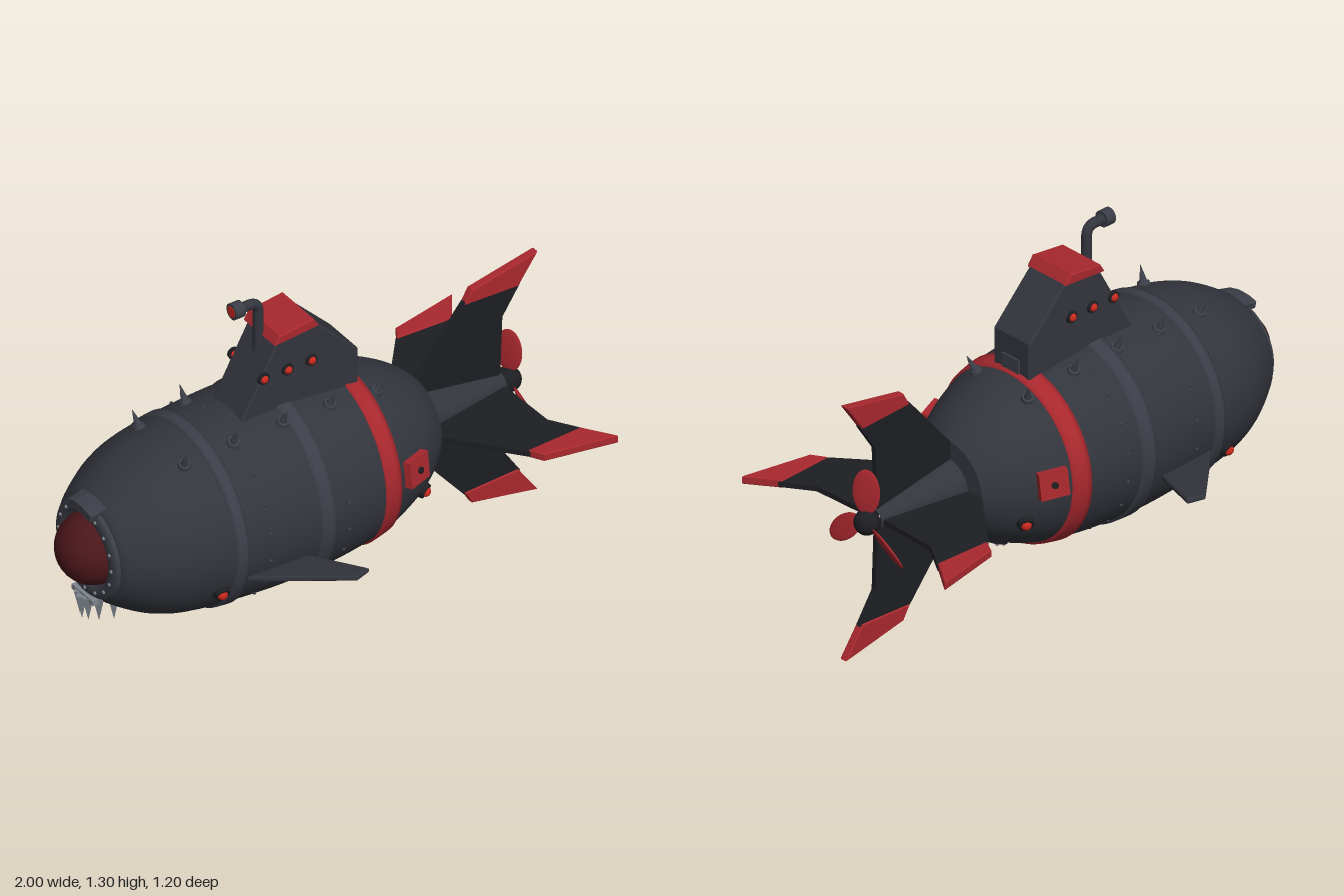
import * as THREE from 'three';

const mat = (color, side = THREE.FrontSide) => new THREE.MeshStandardMaterial({ color, side, roughness: 0.7 });
const HULL = mat(0x33353d), BAND = mat(0x3b3e47), DARK = mat(0x1d1e22), RED = mat(0xa8282e);
const GLASS = mat(0x4a161b), LAMP = mat(0xc8281e), STEEL = mat(0x7c838a);
const AXIS = 0.512;

// hull outline: x along the axis, y = radius
const outline = new THREE.SplineCurve([
  [-0.88, 0.185], [-0.85, 0.22], [-0.72, 0.298], [-0.56, 0.34], [-0.265, 0.364], [-0.05, 0.36],
  [0.135, 0.34], [0.24, 0.315], [0.35, 0.27], [0.43, 0.222], [0.49, 0.167],
].map(p => new THREE.Vector2(...p))).getPoints(60);

function hullRadius(x) {
  let i = 1;
  while (i < outline.length - 1 && outline[i].x < x) i++;
  const a = outline[i - 1], b = outline[i];
  return a.y + (b.y - a.y) * (x - a.x) / (b.x - a.x);
}

export function createModel() {
  const model = new THREE.Group();
  const body = new THREE.Group();
  body.name = 'submarine';
  body.position.y = AXIS;
  model.add(body);

  const add = (name, geo, material, x = 0, y = 0, z = 0, parent = body) => {
    const m = new THREE.Mesh(geo, material);
    m.name = name;
    m.position.set(x, y, z);
    parent.add(m);
    return m;
  };
  // surface of revolution about the x axis, points are [x, radius]
  const revolve = (pts, seg = 64) =>
    new THREE.LatheGeometry(pts.map(p => new THREE.Vector2(p[1], p[0])), seg).rotateZ(-Math.PI / 2);
  // slab cut from an outline in x and y, centred on z
  const slab = (pts, depth, bevel = 0) => new THREE.ExtrudeGeometry(
    new THREE.Shape(pts.map(p => new THREE.Vector2(...p))),
    { depth: depth - 2 * bevel, bevelEnabled: bevel > 0, bevelSize: bevel, bevelThickness: bevel, bevelOffset: -bevel, bevelSegments: 1 },
  ).translate(0, 0, -depth / 2 + bevel);
  // stands a part on the hull at x, angle from the top; its y axis points outwards
  const onHull = (mesh, x, angle, lift = 0) => {
    const r = hullRadius(x), slope = (hullRadius(x + 0.02) - hullRadius(x - 0.02)) / 0.04;
    const c = Math.cos(angle), s = Math.sin(angle);
    const n = new THREE.Vector3(-slope, c, s).normalize();
    const t = new THREE.Vector3(1, slope * c, slope * s).normalize();
    mesh.quaternion.setFromRotationMatrix(new THREE.Matrix4().makeBasis(t, n, t.clone().cross(n)));
    mesh.position.set(x, r * c, r * s).addScaledVector(n, lift);
    return mesh;
  };

  // hull, tail cone and raised bands
  add('hull', revolve(outline.map(p => [p.x, p.y])), HULL);
  add('hullEnd', revolve([[0.49, 0.167], [0.495, 0.09]]), HULL);
  add('tailCone', revolve([[0.485, 0.103], [0.85, 0.04]], 32), HULL);
  for (const [a, b, m] of [[-0.5, -0.45, BAND], [-0.155, -0.09, BAND], [0.135, 0.208, RED]]) {
    const pts = [[a, hullRadius(a) - 0.01]];
    for (let i = 0; i <= 4; i++) {
      const x = a + (b - a) * i / 4;
      pts.push([x, hullRadius(x) + 0.008]);
    }
    pts.push([b, hullRadius(b) - 0.01]);
    add(m === RED ? 'redBand' : 'hullBand', revolve(pts), m);
  }

  // rows of small rivets round the hull
  const rivet = new THREE.SphereGeometry(0.007, 8, 6);
  for (const x of [-0.36, -0.03])
    for (let i = 0; i < 20; i++) onHull(add('hullRivet', rivet, BAND), x, (i + 0.5) / 20 * Math.PI * 2);

  // nose: window, ring, ring rivets
  add('noseDome', new THREE.SphereGeometry(0.135, 40, 24), GLASS, -0.865);
  add('noseRing', revolve([[-0.85, 0.19], [-0.885, 0.19], [-0.897, 0.178], [-0.897, 0.142], [-0.87, 0.13]].reverse()),
    mat(0x3b3e47, THREE.DoubleSide));
  for (let i = 0; i < 16; i++) {
    const a = i / 16 * Math.PI * 2;
    add('ringRivet', rivet, STEEL, -0.897, Math.cos(a) * 0.162, Math.sin(a) * 0.162);
  }

  // hooded brow over the window
  for (const k of [-1, 0, 1]) {
    const g = new THREE.Group();
    g.name = 'brow';
    g.rotation.x = k * 0.23;
    body.add(g);
    add('browPlate', slab([[-0.92, 0.168], [-0.82, 0.18], [-0.8, 0.225], [-0.83, 0.22], [-0.92, 0.198]], 0.05, 0.004), BAND, 0, 0, 0, g);
  }

  // curved row of teeth under the nose
  for (let i = -3; i <= 3; i++) {
    const tooth = new THREE.ConeGeometry(0.025, 0.1, 4).rotateX(Math.PI);
    const m = add('tooth', tooth, STEEL, -0.91 + 0.009 * i * i, -0.238 + 0.003 * Math.abs(i), i * 0.026);
    m.material = mat(0x7c838a);
    m.material.flatShading = true;
  }
  add('jawPlate', new THREE.BoxGeometry(0.11, 0.02, 0.13), STEEL, -0.855, -0.19, 0);

  // tower with sloping cap and portholes
  const tower = new THREE.Group();
  tower.name = 'tower';
  tower.position.y = -AXIS;
  body.add(tower);
  add('towerBody', slab([[-0.33, 0.81], [0.19, 0.81], [0.19, 0.98], [0.01, 1.165], [-0.145, 1.15]], 0.18, 0.006), HULL, 0, 0, 0, tower);
  add('towerCap', slab([[-0.165, 1.138], [0.022, 1.152], [-0.003, 1.19], [-0.145, 1.172]], 0.196, 0.004), RED, 0, 0, 0, tower);
  add('towerStep', new THREE.BoxGeometry(0.06, 0.08, 0.085), BAND, 0.168, 0.86, 0, tower);
  for (const side of [-1, 1])
    for (const x of [-0.21, -0.11, -0.01]) {
      add('portholeRim', new THREE.CylinderGeometry(0.022, 0.024, 0.012, 20).rotateX(side * Math.PI / 2), DARK, x, 1.015, side * 0.093, tower);
      add('porthole', new THREE.SphereGeometry(0.016, 16, 10), LAMP, x, 1.015, side * 0.095, tower);
    }

  // periscope
  const bend = new THREE.CurvePath();
  const V = (x, y) => new THREE.Vector3(x, y, 0);
  bend.add(new THREE.LineCurve3(V(-0.17, 1.05), V(-0.17, 1.235)));
  bend.add(new THREE.QuadraticBezierCurve3(V(-0.17, 1.235), V(-0.17, 1.275), V(-0.21, 1.275)));
  bend.add(new THREE.LineCurve3(V(-0.21, 1.275), V(-0.26, 1.275)));
  add('periscope', new THREE.TubeGeometry(bend, 40, 0.019, 14), HULL, 0, 0, 0, tower);
  add('periscopeEye', new THREE.CylinderGeometry(0.031, 0.031, 0.04, 20).rotateZ(Math.PI / 2), BAND, -0.262, 1.275, 0, tower);
  add('periscopeLens', new THREE.CylinderGeometry(0.022, 0.022, 0.004, 20).rotateZ(Math.PI / 2), LAMP, -0.282, 1.275, 0, tower);

  // four swept tail fins with thicker red tips
  for (let k = 0; k < 4; k++) {
    const fin = new THREE.Group();
    fin.name = 'tailFin';
    fin.rotation.x = k * Math.PI / 2;
    body.add(fin);
    add('finBlade', slab([[0.48, 0.02], [0.84, 0.02], [0.85, 0.285], [0.925, 0.4], [0.69, 0.41], [0.49, 0.168], [0.48, 0.167]], 0.02), DARK, 0, 0, 0, fin);
    add('finTip', slab([[0.69, 0.402], [0.915, 0.392], [0.995, 0.508], [0.72, 0.455]], 0.032, 0.004), RED, 0, 0, 0, fin);
  }

  // propeller
  add('propellerHub', new THREE.SphereGeometry(0.047, 24, 16), DARK, 0.882);
  for (let k = 0; k < 3; k++) {
    const arm = new THREE.Group();
    arm.name = 'propellerBlade';
    arm.rotation.x = k * Math.PI * 2 / 3;
    body.add(arm);
    const blade = add('blade', new THREE.SphereGeometry(1, 24, 16).scale(0.009, 0.09, 0.05), RED, 0.885, 0.122, 0, arm);
    blade.rotation.y = 0.55;
  }

  // swept diving planes, rising slightly outwards
  for (const side of [-1, 1]) {
    const plane = slab([[-0.49, 0.3], [-0.22, 0.3], [-0.1, 0.585], [-0.165, 0.61]], 0.02, 0.005).rotateX(Math.PI / 2);
    const m = add('divingPlane', plane, HULL, 0, -0.17, 0);
    m.rotation.order = 'YXZ';
    if (side < 0) m.scale.z = -1;
    m.rotation.x = -side * 0.17;
  }

  // paired parts on the flanks: spikes, hatches and lamps
  for (const side of [-1, 1]) {
    for (const x of [-0.575, -0.375, -0.17, 0.03, 0.235]) {
      onHull(add('spike', new THREE.ConeGeometry(0.019, 0.08, 16), BAND), x, side * 0.42, 0.032);
      onHull(add('spikeBase', new THREE.CylinderGeometry(0.021, 0.025, 0.018, 16), BAND), x, side * 0.42, 0.004);
    }
    onHull(add('sideHatch', new THREE.BoxGeometry(0.108, 0.03, 0.1), RED), 0.28, side * 1.43, 0.012);
    onHull(add('hatchBolt', new THREE.CylinderGeometry(0.012, 0.012, 0.012, 12), DARK), 0.28, side * 1.43, 0.03);
    for (const [x, a] of [[0.355, 2.0], [-0.54, 2.0]]) {
      onHull(add('lampRim', new THREE.CylinderGeometry(0.028, 0.032, 0.02, 24), DARK), x, side * a, 0.006);
      onHull(add('lamp', new THREE.SphereGeometry(0.02, 18, 12), LAMP), x, side * a, 0.011);
    }
  }

  // riveted round plates along the keel
  for (const x of [-0.52, -0.35, -0.18, -0.01, 0.16, 0.28]) {
    const plate = onHull(add('keelPlate', new THREE.CylinderGeometry(0.055, 0.06, 0.014, 24), DARK), x, Math.PI, 0.002);
    for (let i = 0; i < 8; i++) {
      const a = (i + 0.5) * Math.PI / 4;
      add('keelRivet', rivet, STEEL, Math.cos(a) * 0.047, 0.008, Math.sin(a) * 0.047, plate);
    }
  }
  return model;
}
